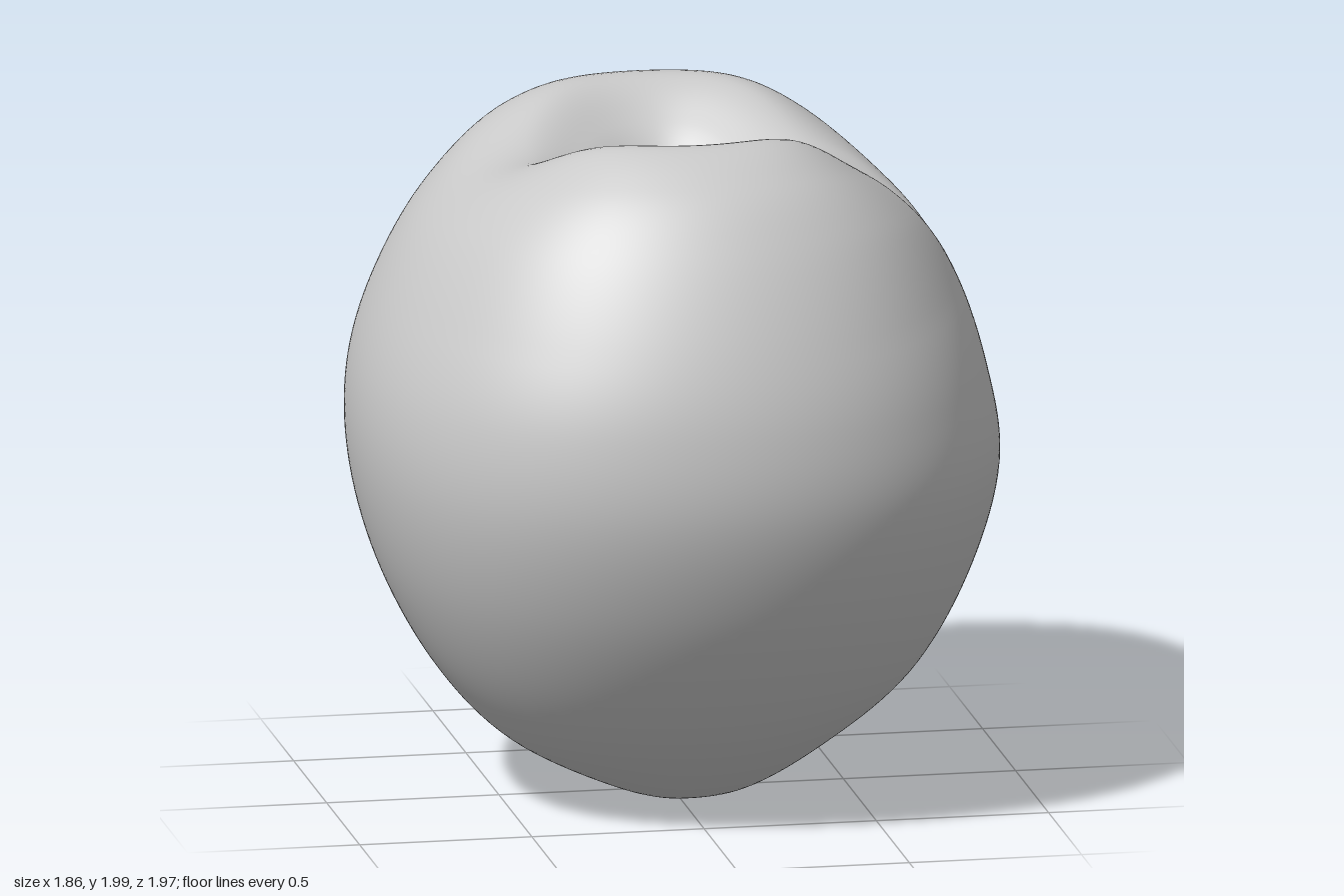
import * as THREE from 'three';
import { mergeVertices } from 'three/addons/utils/BufferGeometryUtils.js';

// Profiles from the bottom tip, over the rim, down into the stem hollow: [distance, height]
const FRONT = [[.09, 0], [.25, .03], [.51, .2], [.7, .4], [.885, .7], [.98, 1], [.975, 1.25], [.91, 1.48],
  [.77, 1.75], [.63, 1.91], [.45, 1.995], [.26, 1.89], [.1, 1.74], [-.04, 1.66]];
const BACK = [[-.09, 0], [.18, .055], [.43, .12], [.69, .32], [.89, .7], [.965, 1], [.985, 1.25], [.95, 1.48],
  [.82, 1.74], [.64, 1.925], [.44, 1.985], [.28, 1.88], [.14, 1.72], [.04, 1.66]];
const LEFT = [[0, 0], [.2, .03], [.47, .2], [.69, .4], [.85, .7], [.925, 1], [.89, 1.25], [.81, 1.5],
  [.7, 1.68], [.55, 1.8], [.4, 1.84], [.22, 1.79], [.1, 1.71], [0, 1.66]];
const RIGHT = [[0, 0], [.22, .06], [.5, .2], [.69, .4], [.85, .7], [.925, 1], [.92, 1.25], [.84, 1.5],
  [.71, 1.71], [.56, 1.83], [.4, 1.86], [.25, 1.8], [.1, 1.7], [0, 1.66]];

const curve = (pts) => new THREE.CatmullRomCurve3(pts.map(([r, y]) => new THREE.Vector3(r, y, 0)));
const bell = (d, w) => Math.exp(-((d / w) ** 2));

function fruitGeometry(rings = 110, segments = 240) {
  const [front, back, left, right] = [FRONT, BACK, LEFT, RIGHT].map(curve);
  const pos = [], index = [];
  for (let i = 0; i <= rings; i++) {
    const t = i / rings;
    const [f, b, l, r] = [front, back, left, right].map((c) => c.getPoint(t));
    const z0 = THREE.MathUtils.lerp(.09, -.04, t);
    // heights blend evenly low down, while the front and back rims stay broad
    const blend = THREE.MathUtils.lerp(2, 5, THREE.MathUtils.smoothstep(t, .1, .6));
    for (let j = 0; j < segments; j++) {
      const a = (j / segments) * Math.PI * 2;
      const c = Math.cos(a), s = Math.sin(a);
      const side = c > 0 ? l : r, end = s > 0 ? f : b;
      // slightly squared cross-section
      const fuller = 1 + .03 * Math.sin(2 * a) ** 2;
      const reach = s > 0 ? f.x - z0 : b.x + z0;
      let x = c * side.x * fuller;
      let y = THREE.MathUtils.lerp(end.y, side.y, Math.abs(c) ** blend);
      const z = z0 + s * reach * fuller;
      if (c > 0) {
        // deep narrow cleft running from the hollow over the left shoulder
        const along = THREE.MathUtils.smoothstep(x, .04, .2) * (1 - THREE.MathUtils.smoothstep(x, .52, .8));
        const above = THREE.MathUtils.smoothstep(y, 1.4, 1.7);
        y -= .17 * along * above * bell(z - .025, .065);
        // faint seam near the tip
        const low = THREE.MathUtils.smoothstep(y, .02, .3) * (1 - THREE.MathUtils.smoothstep(y, .5, 1.1));
        x -= .015 * low * bell(z - .03, .16);
      }
      pos.push(x, y, z);
    }
  }
  for (let i = 0; i < rings; i++) {
    for (let j = 0; j < segments; j++) {
      const k = (j + 1) % segments;
      const p = i * segments + j, q = i * segments + k;
      index.push(p, p + segments, q, q, p + segments, q + segments);
    }
  }
  const geo = new THREE.BufferGeometry();
  geo.setAttribute('position', new THREE.Float32BufferAttribute(pos, 3));
  geo.setIndex(index);
  const merged = mergeVertices(geo, 1e-5);
  merged.computeVertexNormals();
  return merged;
}

export function createModel() {
  const group = new THREE.Group();
  group.name = 'fruit';
  const skin = new THREE.MeshStandardMaterial({ color: 0xc9c9c9 });
  skin.name = 'grey skin';
  const body = new THREE.Mesh(fruitGeometry(), skin);
  body.name = 'fruitBody';
  group.add(body);
  return group;
}
